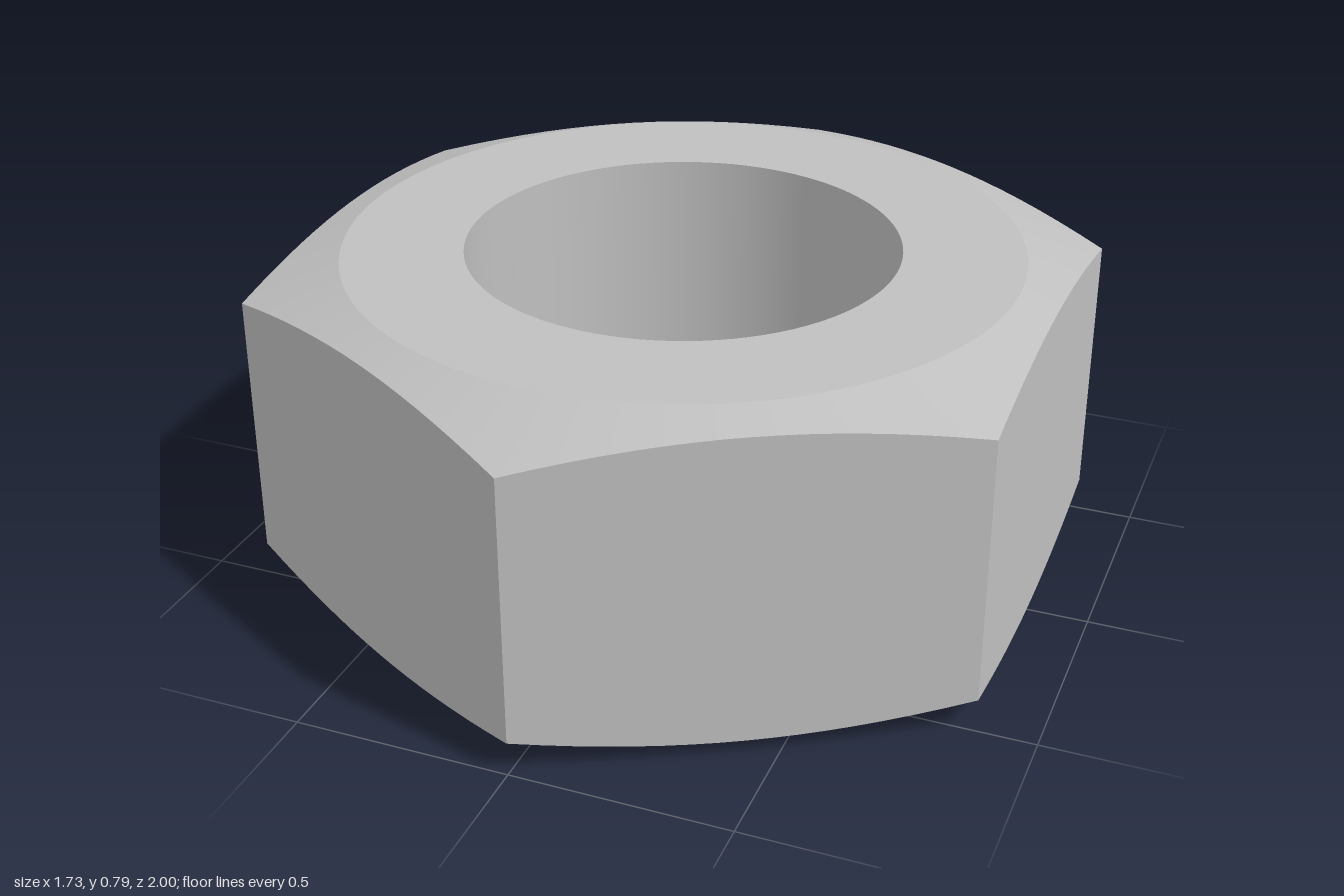
import * as THREE from 'three';

const H = 0.79;          // height
const BORE = 0.5;        // bore radius
const FLAT = 0.78;       // radius where the chamfer starts
const DROP = 0.08;       // chamfer drop at the hex corners
const SIDE = Math.PI / 3;
const SEGS = 16;         // segments per hex side

// Radius of the unit hexagon (corners on the z axis) at angle a
const hexRadius = (a) => {
  const local = ((a % SIDE) + SIDE) % SIDE;
  return Math.cos(SIDE / 2) / Math.cos(local - SIDE / 2);
};
// Depth of the conical chamfer where it meets the hexagon
const chamferDepth = (a) => DROP * (hexRadius(a) - FLAT) / (1 - FLAT);

// Profile points as functions of angle, each returning [radius, y]
const topOuter = (a) => [hexRadius(a), H - chamferDepth(a)];
const topFlat = () => [FLAT, H];
const topBore = () => [BORE, H];
const bottomBore = () => [BORE, 0];
const bottomFlat = () => [FLAT, 0];
const bottomOuter = (a) => [hexRadius(a), chamferDepth(a)];

// Strip between two profile curves; normal(a) returns [radial, y, facing angle]
function strip(start, length, segs, from, to, normal) {
  const pos = [], nor = [], idx = [];
  for (let i = 0; i <= segs; i++) {
    const a = start + length * i / segs;
    const [nr, ny, na] = normal(a);
    for (const [r, y] of [from(a), to(a)]) {
      pos.push(r * Math.sin(a), y, r * Math.cos(a));
      nor.push(nr * Math.sin(na), ny, nr * Math.cos(na));
    }
    if (i < segs) {
      const k = i * 2;
      idx.push(k, k + 2, k + 3, k, k + 3, k + 1);
    }
  }
  const g = new THREE.BufferGeometry();
  g.setAttribute('position', new THREE.Float32BufferAttribute(pos, 3));
  g.setAttribute('normal', new THREE.Float32BufferAttribute(nor, 3));
  g.setIndex(idx);
  return g;
}

export function createModel() {
  const nut = new THREE.Group();
  nut.name = 'hexNut';
  const steel = new THREE.MeshStandardMaterial({ color: 0xbfbfbf });
  steel.name = 'steel grey';

  const add = (name, geometry) => {
    const mesh = new THREE.Mesh(geometry, steel);
    mesh.name = name;
    nut.add(mesh);
  };
  const ring = (name, from, to, nr, ny) =>
    add(name, strip(0, Math.PI * 2, SEGS * 6, from, to, (a) => [nr, ny, a]));

  // Six flat wrench faces with curved upper and lower edges
  for (let i = 0; i < 6; i++) {
    const middle = (i + 0.5) * SIDE;
    add('wrenchFace' + (i + 1),
      strip(i * SIDE, SIDE, SEGS, bottomOuter, topOuter, () => [1, 0, middle]));
  }

  // Conical chamfers, flat bearing faces and the through bore
  const slope = Math.hypot(DROP, 1 - FLAT);
  const nr = DROP / slope, ny = (1 - FLAT) / slope;
  ring('topChamfer', topOuter, topFlat, nr, ny);
  ring('topFace', topFlat, topBore, 0, 1);
  ring('bore', topBore, bottomBore, -1, 0);
  ring('bottomFace', bottomBore, bottomFlat, 0, -1);
  ring('bottomChamfer', bottomFlat, bottomOuter, nr, -ny);

  return nut;
}
